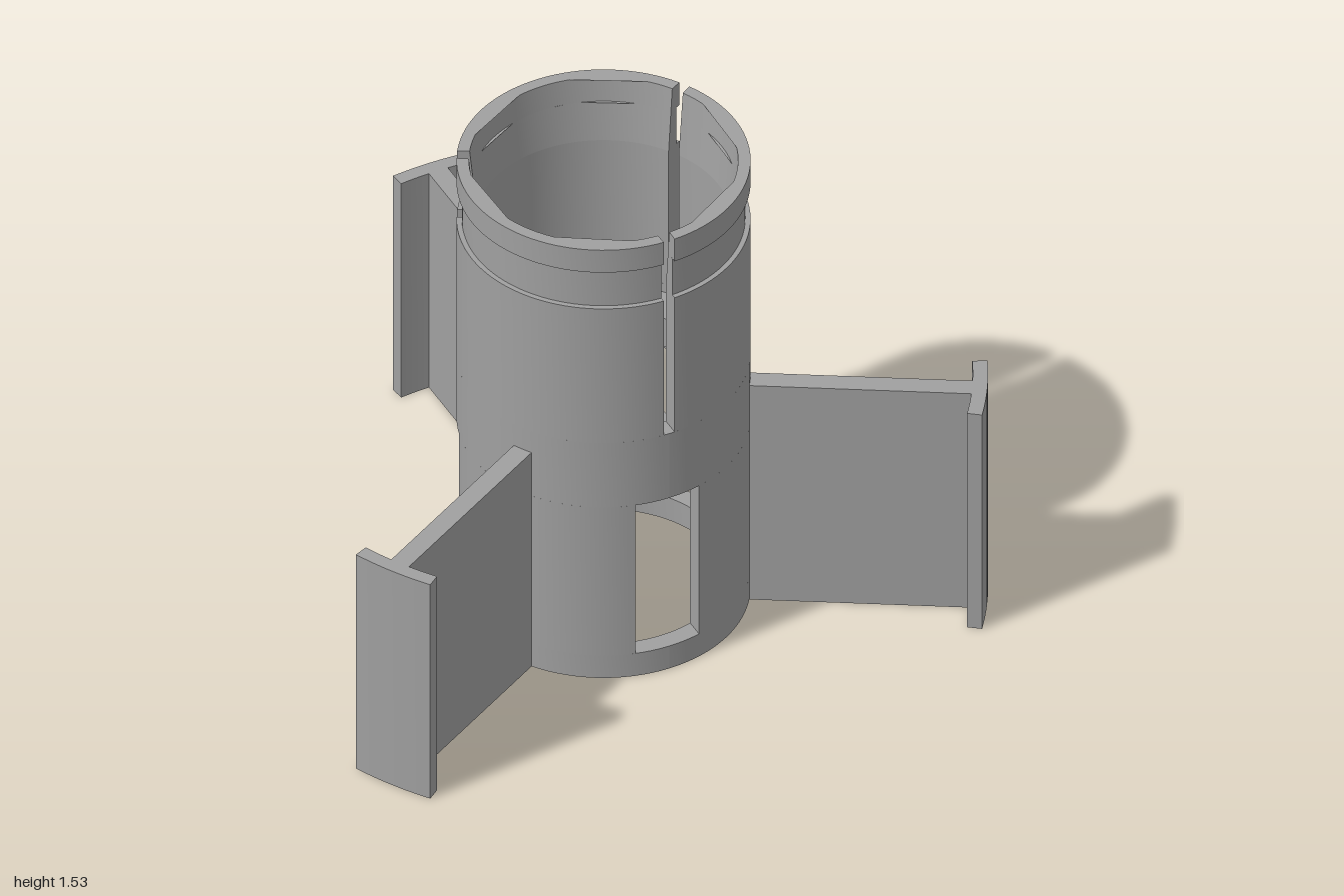
import * as THREE from 'three';
import { toCreasedNormals } from 'three/addons/utils/BufferGeometryUtils.js';

const R_OUT = 0.415, R_IN = 0.36, FLARE_Y = 1.32, TOP_Y = 1.53, FIN_H = 0.765;

// Ring segment between angles a0 and a1; both ends trimmed parallel to the radius by "gap"
function ringSector(rIn, rOut, a0, a1, gap, steps) {
  const pts = [];
  const arc = (r, from, to) => {
    for (let i = 0; i <= steps; i++) {
      const a = from + (to - from) * i / steps;
      pts.push(new THREE.Vector2(r * Math.cos(a), r * Math.sin(a)));
    }
  };
  const o = Math.asin(gap / rOut), n = Math.asin(gap / rIn);
  arc(rOut, a0 + o, a1 - o);
  arc(rIn, a1 - n, a0 + n);
  return new THREE.Shape(pts);
}

// Upright extrusion of a plan shape
function slab(shape, y0, y1) {
  const geo = new THREE.ExtrudeGeometry(shape, { depth: y1 - y0, bevelEnabled: false });
  geo.rotateX(-Math.PI / 2);
  geo.translate(0, y0, 0);
  return geo;
}

// Widen the bore towards the mouth
function flareBore(geo) {
  const p = geo.attributes.position;
  for (let i = 0; i < p.count; i++) {
    const x = p.getX(i), y = p.getY(i), z = p.getZ(i), r = Math.hypot(x, z);
    if (r > 0.39) continue;
    const k = (R_IN + 0.02 * Math.max(0, (y - FLARE_Y) / (TOP_Y - FLARE_Y))) / r;
    p.setXYZ(i, x * k, y, z * k);
  }
  return geo;
}

export function createModel() {
  const model = new THREE.Group();
  model.name = 'finnedSleeve';
  const grey = new THREE.MeshStandardMaterial({ color: 0xa0a0a0 });
  grey.name = 'grey';

  const body = new THREE.Group();
  body.name = 'body';
  body.position.x = -0.22;
  model.add(body);
  const add = (parent, geo, name) => {
    const mesh = new THREE.Mesh(toCreasedNormals(geo, 0.5), grey);
    mesh.name = name;
    parent.add(mesh);
    return mesh;
  };

  // Tube in stacked bands: name, bottom, top, outer radius, half width of the openings
  const bands = [
    ['tubeFoot', 0, 0.08, R_OUT, 0],
    ['windowBand', 0.08, 0.61, R_OUT, 0.1],
    ['tubeMiddle', 0.61, 0.84, R_OUT, 0],
    ['slottedBand', 0.84, FLARE_Y, R_OUT, 0.017],
    ['neckGroove', FLARE_Y, 1.45, 0.4, 0.017],
    ['rim', 1.45, TOP_Y, R_OUT, 0.017],
  ];
  const third = Math.PI * 2 / 3;
  for (const [name, y0, y1, r, gap] of bands) {
    for (let i = 0; i < 3; i++) {
      const a = Math.PI / 3 + i * third;
      add(body, flareBore(slab(ringSector(R_IN, r, a, a + third, gap, 32), y0, y1)), name);
    }
  }

  // Three fins with curved end plates, and inner tabs under the slots
  for (let i = 0; i < 3; i++) {
    const arm = new THREE.Group();
    arm.name = 'arm';
    arm.rotation.y = i * third;
    body.add(arm);

    const web = add(arm, new THREE.BoxGeometry(0.645, FIN_H, 0.06), 'finWeb');
    web.position.set(0.7275, FIN_H / 2, 0);
    add(arm, slab(ringSector(1.042, 1.085, -0.116, 0.116, 0, 12), 0, FIN_H), 'endPlate');

    const tab = add(arm, new THREE.BoxGeometry(0.11, 0.1, 0.1), 'innerTab');
    tab.position.set(-0.313, 0.76, 0);
  }
  return model;
}
